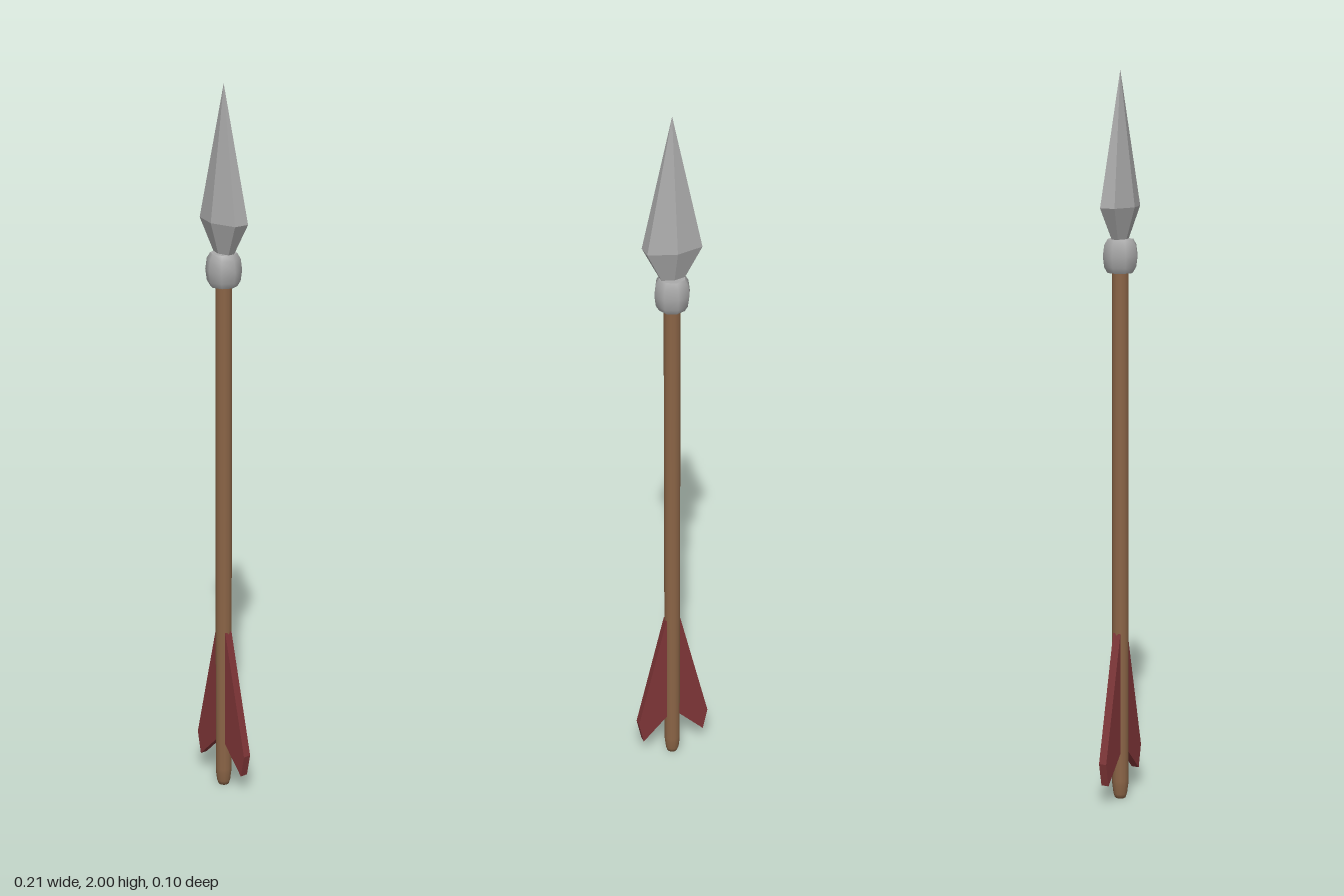
import * as THREE from 'three';

const wood = new THREE.MeshStandardMaterial({ color: 0x8a6446 });
wood.name = 'brown wood';
const metal = new THREE.MeshStandardMaterial({ color: 0xa9a9a9 });
metal.name = 'grey metal';
const feather = new THREE.MeshStandardMaterial({ color: 0x7e3537 });
feather.name = 'dark red feather';
const steel = metal.clone();
steel.name = 'faceted grey metal';
steel.flatShading = true;

// Profile of [radius, height] pairs, bottom to top
function turned(profile, sides, material, name) {
  const points = profile.map(([r, y]) => new THREE.Vector2(r, y));
  const mesh = new THREE.Mesh(new THREE.LatheGeometry(points, sides), material);
  mesh.name = name;
  return mesh;
}

export function createModel() {
  const group = new THREE.Group();
  group.name = 'arrow';

  // Long shaft with a slightly tapered butt
  group.add(turned([[0, 0], [0.015, 0], [0.019, 0.012], [0.0225, 0.04], [0.0225, 0.05], [0.0225, 1.5]], 12, wood, 'shaft'));

  // Rounded collar under the head
  group.add(turned([
    [0, 1.465], [0.036, 1.465], [0.036, 1.465], [0.045, 1.48], [0.049, 1.51],
    [0.045, 1.54], [0.036, 1.555], [0.036, 1.555], [0, 1.555],
  ], 8, metal, 'collar'));

  // Six-sided head, flattened front to back
  const headGeometry = new THREE.LatheGeometry(
    [[0, 1.53], [0.26, 1.53], [1, 1.64], [0, 2]].map(([r, y]) => new THREE.Vector2(r, y)), 6);
  headGeometry.scale(0.0866, 1, 0.043);
  const head = new THREE.Mesh(headGeometry, steel);
  head.name = 'head';
  group.add(head);

  // Two mirrored fletchings
  for (const side of [1, -1]) {
    const outline = [[0.01, 0.475], [0.021, 0.475], [0.106, 0.125], [0.092, 0.06], [0.018, 0.135], [0.01, 0.135]];
    const shape = new THREE.Shape(outline.map(([x, y]) => new THREE.Vector2(side * x, y)));
    const geometry = new THREE.ExtrudeGeometry(shape, { depth: 0.022, bevelEnabled: false });
    geometry.translate(0, 0, -0.011);
    const fin = new THREE.Mesh(geometry, feather);
    fin.name = side > 0 ? 'leftFletching' : 'rightFletching';
    group.add(fin);
  }
  return group;
}
